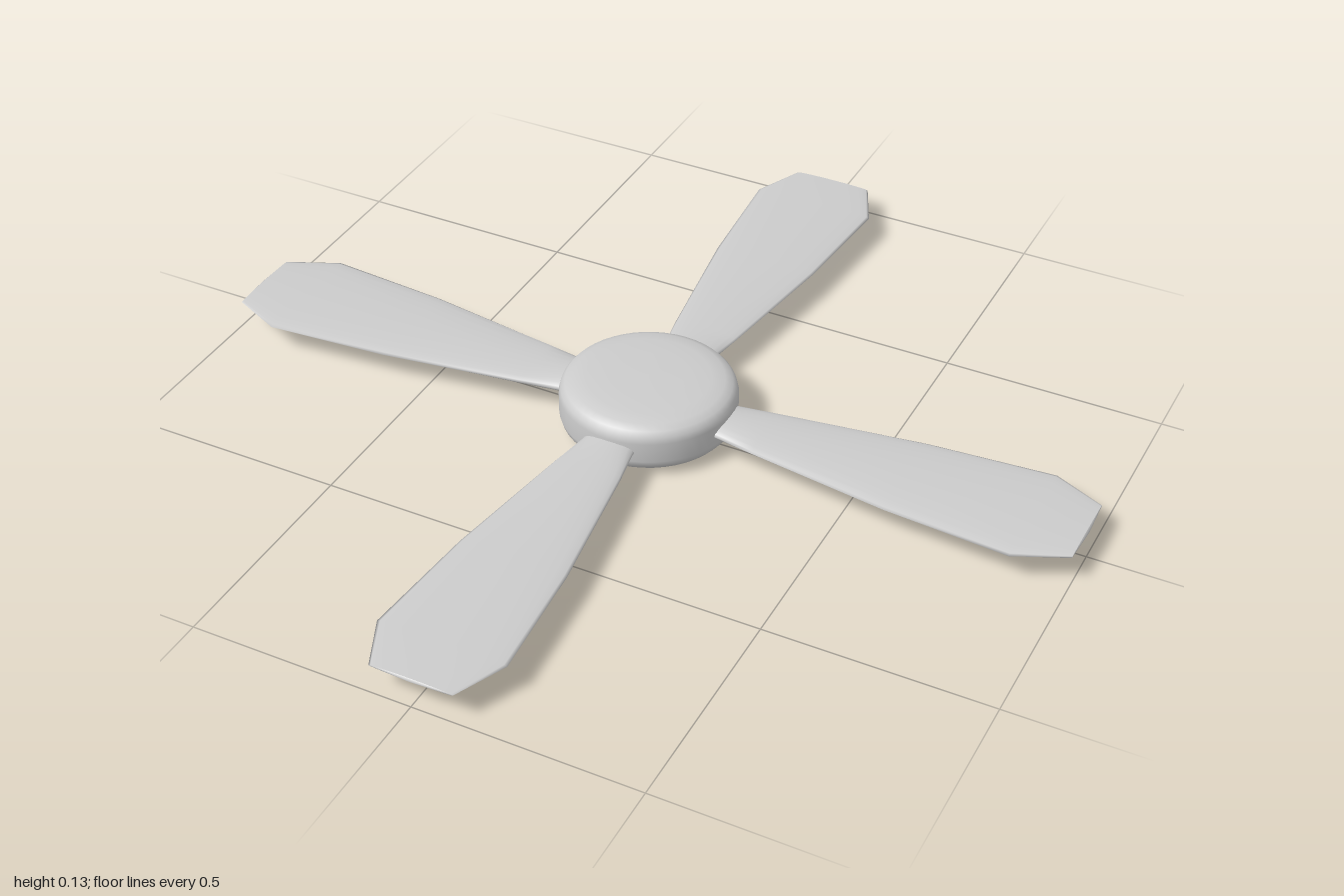
import * as THREE from 'three';

const MID = 0.065; // height of the blade plane

// Blade along +x: elliptical cross-sections joined in loops
function bladeGeometry() {
  const sections = [ // distance, half width, half thickness
    [0.1, 0.046, 0.02], [0.2, 0.061, 0.018], [0.28, 0.076, 0.013],
    [0.6, 0.123, 0.01], [0.88, 0.145, 0.008], [0.995, 0.093, 0.004],
  ];
  const n = 20, pos = [], idx = [];
  sections.forEach(([r, w, t]) => {
    for (let j = 0; j < n; j++) {
      const a = (j / n) * Math.PI * 2;
      pos.push(r, t * Math.sin(a), w * Math.cos(a));
    }
  });
  for (let i = 0; i < sections.length - 1; i++) {
    for (let j = 0; j < n; j++) {
      const k = (j + 1) % n, a = i * n, b = a + n;
      idx.push(a + j, b + j, b + k, a + j, b + k, a + k);
    }
  }
  // Closed tip, with its own vertices so the edge stays sharp
  const rim = (sections.length - 1) * n, cap = pos.length / 3;
  for (let j = 0; j < n; j++) pos.push(...pos.slice((rim + j) * 3, (rim + j) * 3 + 3));
  pos.push(1, 0, 0);
  for (let j = 0; j < n; j++) idx.push(cap + n, cap + (j + 1) % n, cap + j);
  const g = new THREE.BufferGeometry();
  g.setAttribute('position', new THREE.Float32BufferAttribute(pos, 3));
  g.setIndex(idx);
  g.computeVertexNormals();
  return g;
}

export function createModel() {
  const model = new THREE.Group();
  model.name = 'fourBladeRotor';
  const mat = new THREE.MeshStandardMaterial({ color: 0xcccccc });

  // Hub: a disc with rounded rims, mirrored about the blade plane
  const half = [[0, 0], [0.08, 0.001], [0.135, 0.004], [0.165, 0.009],
    [0.182, 0.017], [0.191, 0.028], [0.195, 0.042]];
  const profile = [...half, ...half.map(([r, y]) => [r, 2 * MID - y]).reverse()]
    .map(([r, y]) => new THREE.Vector2(r, y));
  const hub = new THREE.Mesh(new THREE.LatheGeometry(profile, 48), mat);
  hub.name = 'hub';
  model.add(hub);

  // Four equal blades
  const geo = bladeGeometry();
  for (let i = 0; i < 4; i++) {
    const blade = new THREE.Mesh(geo, mat);
    blade.name = 'blade' + (i + 1);
    blade.position.y = MID;
    blade.rotation.y = (i * Math.PI) / 2;
    model.add(blade);
  }
  return model;
}
